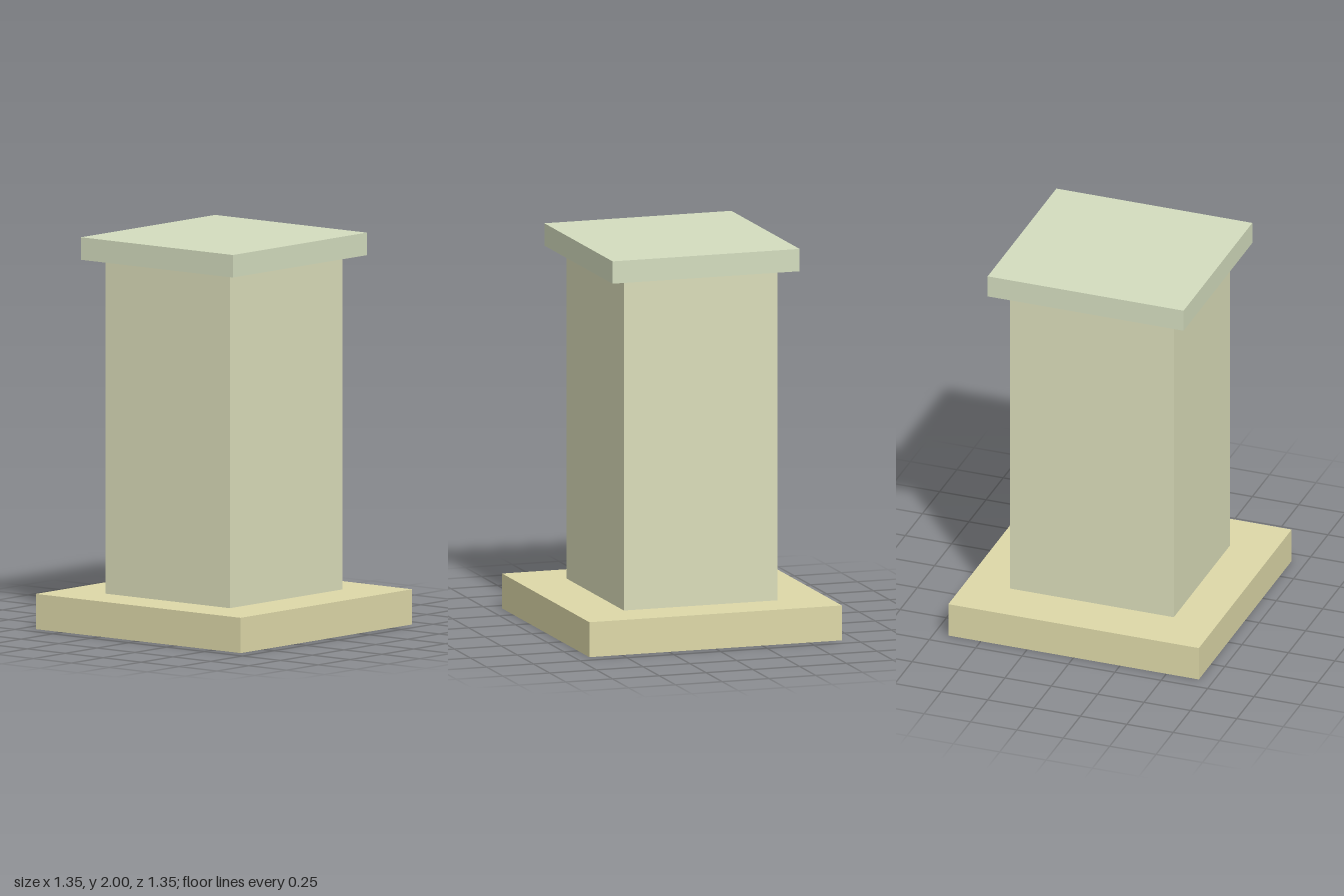
import * as THREE from 'three';

// Box resting at height y0 and reaching y1
function slab(name, width, depth, y0, y1, color) {
  const mesh = new THREE.Mesh(
    new THREE.BoxGeometry(width, y1 - y0, depth),
    new THREE.MeshStandardMaterial({ color })
  );
  mesh.name = name;
  mesh.position.y = (y0 + y1) / 2;
  return mesh;
}

export function createModel() {
  const group = new THREE.Group();
  group.name = 'pedestal';
  group.add(
    slab('base', 1.35, 1.35, 0, 0.18, 0xddd8a8),
    slab('column', 0.884, 0.82, 0.18, 1.885, 0xdadcb9),
    slab('cap', 1.056, 1.0, 1.885, 2, 0xd3dcbe)
  );
  return group;
}
